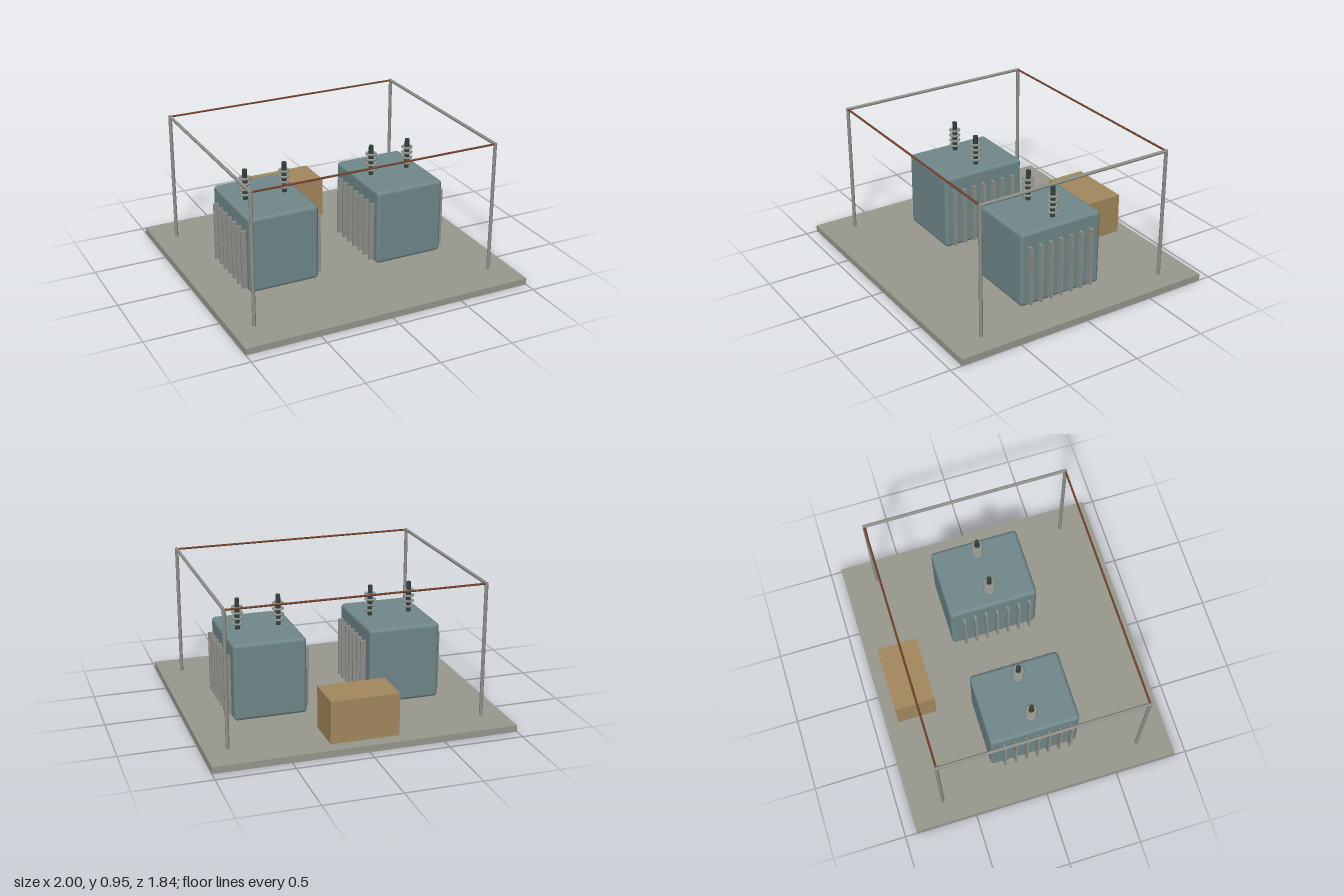
import * as THREE from 'three';
import { RoundedBoxGeometry } from 'three/addons/geometries/RoundedBoxGeometry.js';

const mat = (name, color) => {
  const m = new THREE.MeshStandardMaterial({ color });
  m.name = name;
  return m;
};

export function createModel() {
  const concrete = mat('concrete', 0x99988e);
  const steel = mat('galvanised steel', 0x8f918b);
  const tankPaint = mat('blue grey paint', 0x70888b);
  const cabinetPaint = mat('ochre paint', 0xa3885e);
  const porcelain = mat('dark porcelain', 0x33423f);
  const copper = mat('copper', 0x74432c);

  const model = new THREE.Group();
  model.name = 'substation';

  const add = (parent, name, geometry, material, x, y, z) => {
    const mesh = new THREE.Mesh(geometry, material);
    mesh.name = name;
    mesh.position.set(x, y, z);
    parent.add(mesh);
    return mesh;
  };

  // Ground slab and control cabinet
  add(model, 'slab', new THREE.BoxGeometry(2, 0.045, 1.84), concrete, 0, 0.0225, 0);
  add(model, 'cabinet', new THREE.BoxGeometry(0.455, 0.285, 0.275), cabinetPaint, 0, 0.1875, -0.693);

  // Transformers: rounded tank, cooling fins on both sides, two bushings
  const tankGeo = new RoundedBoxGeometry(0.49, 0.525, 0.61, 2, 0.025);
  const finGeo = new THREE.BoxGeometry(0.05, 0.41, 0.015);
  const rodGeo = new THREE.CylinderGeometry(0.016, 0.016, 0.215, 12);
  const shedGeo = new THREE.TorusGeometry(0.029, 0.011, 8, 20);
  shedGeo.rotateX(Math.PI / 2).scale(1, 0.65, 1);

  for (const side of [-1, 1]) {
    const transformer = new THREE.Group();
    transformer.name = side > 0 ? 'leftTransformer' : 'rightTransformer';
    transformer.position.x = side * 0.461;
    model.add(transformer);
    add(transformer, 'tank', tankGeo, tankPaint, 0, 0.3025, 0);

    for (const s of [-1, 1]) {
      for (let i = 0; i < 7; i++) {
        add(transformer, 'coolingFin', finGeo, steel, s * 0.256, 0.265, -0.215 + i * 0.077);
      }
      add(transformer, 'bushingRod', rodGeo, porcelain, s * 0.139, 0.6675, 0);
      for (let i = 0; i < 4; i++) {
        add(transformer, 'bushingShed', shedGeo, steel, s * 0.139, 0.604 + i * 0.0375, 0);
      }
    }
  }

  // Overhead frame: four posts, side beams and copper busbars
  const postGeo = new THREE.CylinderGeometry(0.012, 0.012, 0.9, 10);
  const beamGeo = new THREE.CylinderGeometry(0.011, 0.011, 1.4, 10).rotateX(Math.PI / 2);
  const barGeo = new THREE.CylinderGeometry(0.007, 0.007, 1.7, 8).rotateZ(Math.PI / 2);
  for (const s of [-1, 1]) {
    for (const z of [-0.692, 0.692]) add(model, 'post', postGeo, steel, s * 0.848, 0.495, z);
    add(model, 'sideBeam', beamGeo, steel, s * 0.848, 0.942, 0);
    add(model, 'busbar', barGeo, copper, 0, 0.942, s * 0.692);
  }

  return model;
}
